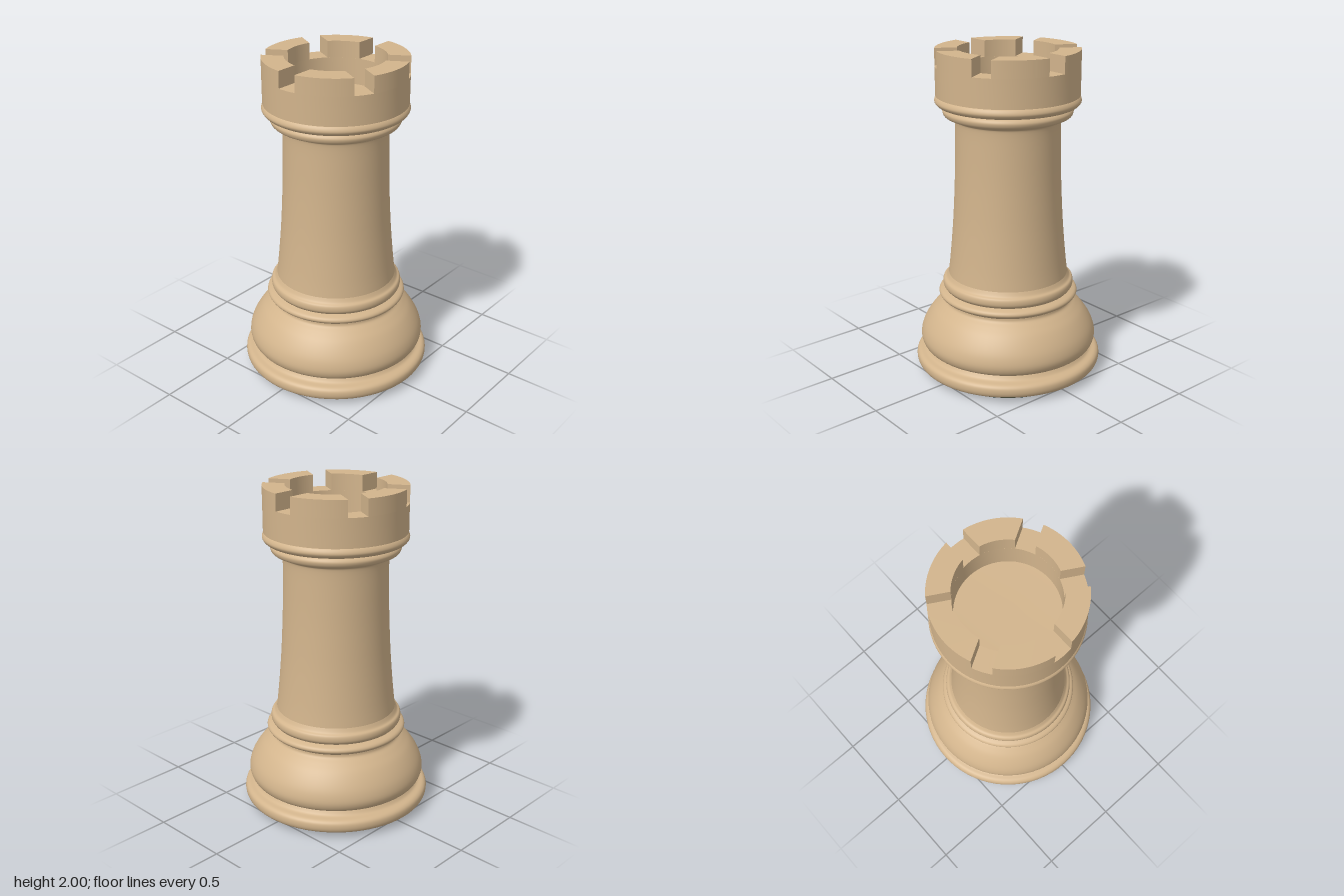
import * as THREE from 'three';
import { toCreasedNormals } from 'three/addons/utils/BufferGeometryUtils.js';

const SEGMENTS = 72;
const wood = new THREE.MeshStandardMaterial({ color: 0xd2b48c });
const felt = new THREE.MeshStandardMaterial({ color: 0x1c3a2c });

// Turned part from [radius, height] points; samples > 0 rounds the profile
function turned(name, points, samples = 0, material = wood) {
  let profile = points.map(([r, y]) => new THREE.Vector2(r, y));
  if (samples) profile = new THREE.SplineCurve(profile).getPoints(samples);
  let geometry = new THREE.LatheGeometry(profile, SEGMENTS);
  if (!samples) geometry = toCreasedNormals(geometry, 0.6);
  const mesh = new THREE.Mesh(geometry, material);
  mesh.name = name;
  return mesh;
}

const OUTER = 0.425, INNER = 0.295, HALF_GAP = 0.057;
const NOTCH_Y = 1.9, TOP_Y = 2;

// One battlement: a ring sector whose ends run parallel to the gaps
function battlementGeometry() {
  const gapOut = Math.asin(HALF_GAP / OUTER);
  const gapIn = Math.asin(HALF_GAP / INNER);
  const span = Math.PI / 3;
  const shape = new THREE.Shape();
  shape.absarc(0, 0, OUTER, gapOut, span - gapOut, false);
  shape.absarc(0, 0, INNER, span - gapIn, gapIn, true);
  shape.closePath();
  const geometry = new THREE.ExtrudeGeometry(shape, {
    depth: TOP_Y - NOTCH_Y, bevelEnabled: false, curveSegments: 14,
  });
  geometry.rotateX(-Math.PI / 2);
  return toCreasedNormals(geometry, 0.6);
}

export function createModel() {
  const model = new THREE.Group();
  model.name = 'rook';

  model.add(
    turned('feltPad', [[0, 0], [0.495, 0], [0.5, 0.006], [0.5, 0.03], [0, 0.03]], 0, felt),
    turned('footUnderside', [[0, 0.025], [0.5, 0.025]]),
    turned('foot', [
      [0.5, 0.025], [0.555, 0.036], [0.574, 0.06], [0.574, 0.095],
      [0.556, 0.115], [0.52, 0.125], [0.5, 0.15],
    ], 30),
    turned('baseBulge', [
      [0.5, 0.15], [0.53, 0.17], [0.545, 0.215], [0.535, 0.27],
      [0.508, 0.325], [0.468, 0.38], [0.425, 0.42], [0.395, 0.445], [0.39, 0.465],
    ], 36),
    turned('lowerBead', [
      [0.39, 0.465], [0.418, 0.483], [0.428, 0.5], [0.418, 0.517], [0.387, 0.53],
    ], 20),
    turned('lowerCollar', [
      [0.387, 0.53], [0.4, 0.548], [0.402, 0.57], [0.396, 0.588], [0.38, 0.6], [0.366, 0.625],
    ], 20),
    turned('shaft', [
      [0.366, 0.625], [0.355, 0.72], [0.341, 0.87], [0.33, 1.02],
      [0.32, 1.22], [0.315, 1.4], [0.314, 1.56], [0.324, 1.59], [0.35, 1.6],
    ], 40),
    turned('upperCollar', [
      [0.35, 1.6], [0.376, 1.612], [0.386, 1.635], [0.38, 1.652], [0.366, 1.664],
    ], 20),
    turned('upperBead', [
      [0.366, 1.664], [0.41, 1.672], [0.43, 1.692], [0.43, 1.71], [0.418, 1.728], [0.405, 1.73],
    ], 20),
    // Cup below the battlements, with its sunken floor
    turned('crown', [
      [0.4, 1.728], [OUTER, 1.73], [OUTER, NOTCH_Y], [INNER, NOTCH_Y], [INNER, 1.74], [0, 1.73],
    ]),
  );

  // Six battlements, leaving gaps at the front, back and diagonals
  const geometry = battlementGeometry();
  for (let i = 0; i < 6; i++) {
    const battlement = new THREE.Mesh(geometry, wood);
    battlement.name = `battlement${i + 1}`;
    battlement.position.y = NOTCH_Y;
    battlement.rotation.y = Math.PI / 6 + (i * Math.PI) / 3;
    model.add(battlement);
  }
  return model;
}
